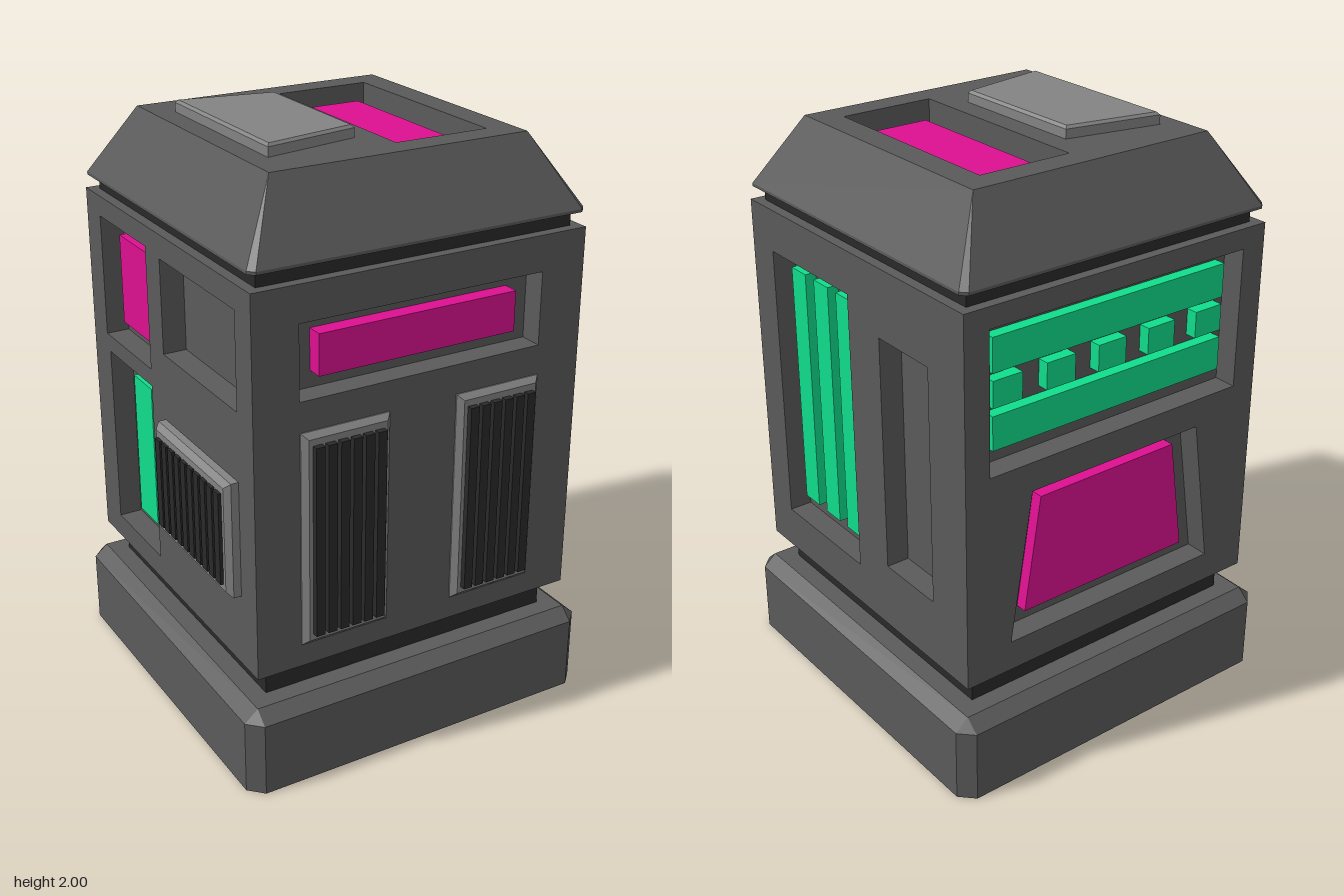
import * as THREE from 'three';

const paint = (color) => new THREE.MeshStandardMaterial({ color, flatShading: true });
const BODY = paint(0x5a5a5a), LIGHT = paint(0x838383), DARK = paint(0x292929);
const PINK = paint(0xdc1090), GREEN = paint(0x10dd8c);

const HALF = 0.59, FLOOR = 0.51; // outer wall and recess floor, from the centre
const Y0 = 0.395, Y1 = 1.67;     // bottom and top of the body

function add(parent, name, geometry, material) {
  const mesh = new THREE.Mesh(geometry, material);
  mesh.name = name;
  parent.add(mesh);
  return mesh;
}

// Outlines as corner lists, counter-clockwise
const rect = (x0, x1, y0, y1) => [[x0, y0], [x1, y0], [x1, y1], [x0, y1]];
const trapezoid = (bottom, top, y0, y1) => [[-bottom, y0], [bottom, y0], [top, y1], [-top, y1]];
const vectors = (points) => points.map(([x, y]) => new THREE.Vector2(x, y));

// Flat plate from z0 to z1, with optional holes and a chamfered rim
function plate(points, z0, z1, holes = [], bevel = 0) {
  const shape = new THREE.Shape(vectors(points));
  for (const hole of holes) shape.holes.push(new THREE.Path(vectors(hole)));
  const geometry = new THREE.ExtrudeGeometry(shape, {
    depth: z1 - z0 - 2 * bevel, bevelEnabled: bevel > 0, bevelSegments: 1,
    bevelThickness: bevel, bevelSize: bevel, bevelOffset: -bevel,
  });
  return geometry.translate(0, 0, z0 + bevel);
}

// Square block with cut corners, lofted through [half width, corner cut, height]
function loft(levels, capTop) {
  const positions = [], index = [];
  for (const [h, c, y] of levels) {
    const i = h - c;
    for (const [x, z] of [[i, h], [h, i], [h, -i], [i, -h], [-i, -h], [-h, -i], [-h, i], [-i, h]]) {
      positions.push(x, y, z);
    }
  }
  for (let l = 0; l < levels.length - 1; l++) {
    for (let k = 0; k < 8; k++) {
      const a = l * 8 + k, b = l * 8 + (k + 1) % 8;
      index.push(a, b, b + 8, a, b + 8, a + 8);
    }
  }
  const top = (levels.length - 1) * 8;
  for (let k = 1; k < 7; k++) {
    index.push(0, k + 1, k);
    if (capTop) index.push(top, top + k, top + k + 1);
  }
  const geometry = new THREE.BufferGeometry();
  geometry.setAttribute('position', new THREE.Float32BufferAttribute(positions, 3));
  geometry.setIndex(index);
  const flat = geometry.toNonIndexed();
  flat.computeVertexNormals();
  return flat;
}

function block(parent, name, width, y0, y1, material) {
  add(parent, name, new THREE.BoxGeometry(width, y1 - y0, width), material).position.y = (y0 + y1) / 2;
}

// One wall of the body; recesses are holes in front of the inner core
function wall(parent, name, angle, halfWidth, recesses) {
  const group = new THREE.Group();
  group.name = name;
  group.rotation.y = angle;
  add(group, name + 'Panel', plate(rect(-halfWidth, halfWidth, Y0, Y1), FLOOR, HALF, recesses), BODY);
  parent.add(group);
  return group;
}

const insert = (parent, name, points, material, z1 = 0.55) =>
  add(parent, name, plate(points, FLOOR - 0.01, z1), material);

// Raised vent plate with dark upright slats
function vent(parent, x0, x1, y0, y1, depth, count, slatDepth) {
  add(parent, 'ventFrame', plate(rect(x0, x1, y0, y1), HALF - 0.025, HALF + depth, [], 0.018), LIGHT);
  const margin = 0.025, pitch = (x1 - x0 - 2 * margin) / count;
  for (let i = 0; i < count; i++) {
    const x = x0 + margin + (i + 0.5) * pitch;
    add(parent, 'ventSlat', plate(rect(x - pitch * 0.36, x + pitch * 0.36, y0 + 0.04, y1 - 0.04),
      HALF, HALF + depth + slatDepth), DARK);
  }
}

export function createModel() {
  const model = new THREE.Group();
  model.name = 'droidBlock';

  // Base, necks and inner core
  add(model, 'base', loft([[0.645, 0.047, 0], [0.645, 0.047, 0.255], [0.598, 0, 0.295]], true), BODY);
  block(model, 'lowerNeck', 1.07, 0.29, 0.4, DARK);
  block(model, 'bodyCore', 2 * FLOOR, Y0, Y1, BODY);
  block(model, 'upperNeck', 1.11, 1.66, 1.725, DARK);

  // Front: display strip and two vents
  const front = wall(model, 'front', 0, HALF, [rect(-0.435, 0.43, 1.305, 1.55)]);
  insert(front, 'frontDisplay', rect(-0.355, 0.35, 1.36, 1.495), PINK, 0.565);
  vent(front, -0.435, -0.125, 0.475, 1.205, 0.022, 6, 0.02);
  vent(front, 0.12, 0.43, 0.475, 1.205, 0.022, 6, 0.02);

  // Left side: three tall bars and an empty recess
  const left = wall(model, 'leftSide', Math.PI / 2, FLOOR,
    [rect(-0.465, -0.015, 0.545, 1.525), rect(0.155, 0.41, 0.625, 1.44)]);
  for (const u of [-0.376, -0.241, -0.109]) {
    insert(left, 'tallBar', rect(u - 0.042, u + 0.042, 0.61, 1.475), GREEN);
  }

  // Right side: square display, short bar, empty recess and vent
  const right = wall(model, 'rightSide', -Math.PI / 2, FLOOR,
    [rect(-0.48, -0.12, 1.18, 1.6), rect(-0.46, -0.12, 0.48, 1.12), rect(-0.015, 0.49, 1.27, 1.59)]);
  insert(right, 'squareDisplay', rect(-0.42, -0.17, 1.235, 1.545), PINK);
  insert(right, 'shortBar', rect(-0.36, -0.22, 0.545, 1.06), GREEN);
  vent(right, -0.02, 0.49, 0.645, 1.04, 0.044, 10, 0.011);

  // Back: bar grid and tapered display
  const back = wall(model, 'back', Math.PI, HALF,
    [rect(-0.5, 0.5, 1.12, 1.6), trapezoid(0.42, 0.34, 0.5, 1.02)]);
  insert(back, 'upperBar', rect(-0.46, 0.46, 1.435, 1.55), GREEN);
  insert(back, 'lowerBar', rect(-0.46, 0.46, 1.18, 1.295), GREEN);
  for (let i = -2; i <= 2; i++) {
    insert(back, 'gridBlock', rect(i * 0.202 - 0.055, i * 0.202 + 0.055, 1.32, 1.41), GREEN);
  }
  insert(back, 'taperedDisplay', trapezoid(0.335, 0.275, 0.56, 0.96), PINK);

  // Roof with a recessed display and a raised hatch
  add(model, 'roof', loft([[HALF, 0.02, 1.72], [HALF, 0.02, 1.73], [0.45, 0, 1.96]], false), BODY);
  const top = new THREE.Group();
  top.name = 'roofTop';
  top.rotation.x = -Math.PI / 2;
  model.add(top);
  add(top, 'roofPanel', plate(rect(-0.45, 0.45, -0.45, 0.45), 1.88, 1.96, [rect(0.03, 0.36, -0.36, 0.36)]), BODY);
  add(top, 'roofRecessFloor', plate(rect(-0.4, 0.4, -0.4, 0.4), 1.84, 1.88), BODY);
  add(top, 'roofDisplay', plate(rect(0.1, 0.29, -0.28, 0.285), 1.87, 1.92), PINK);
  add(top, 'hatch', plate([[-0.378, -0.312], [-0.048, -0.25], [-0.048, 0.25], [-0.378, 0.312]],
    1.94, 2, [], 0.009), LIGHT);

  return model;
}
